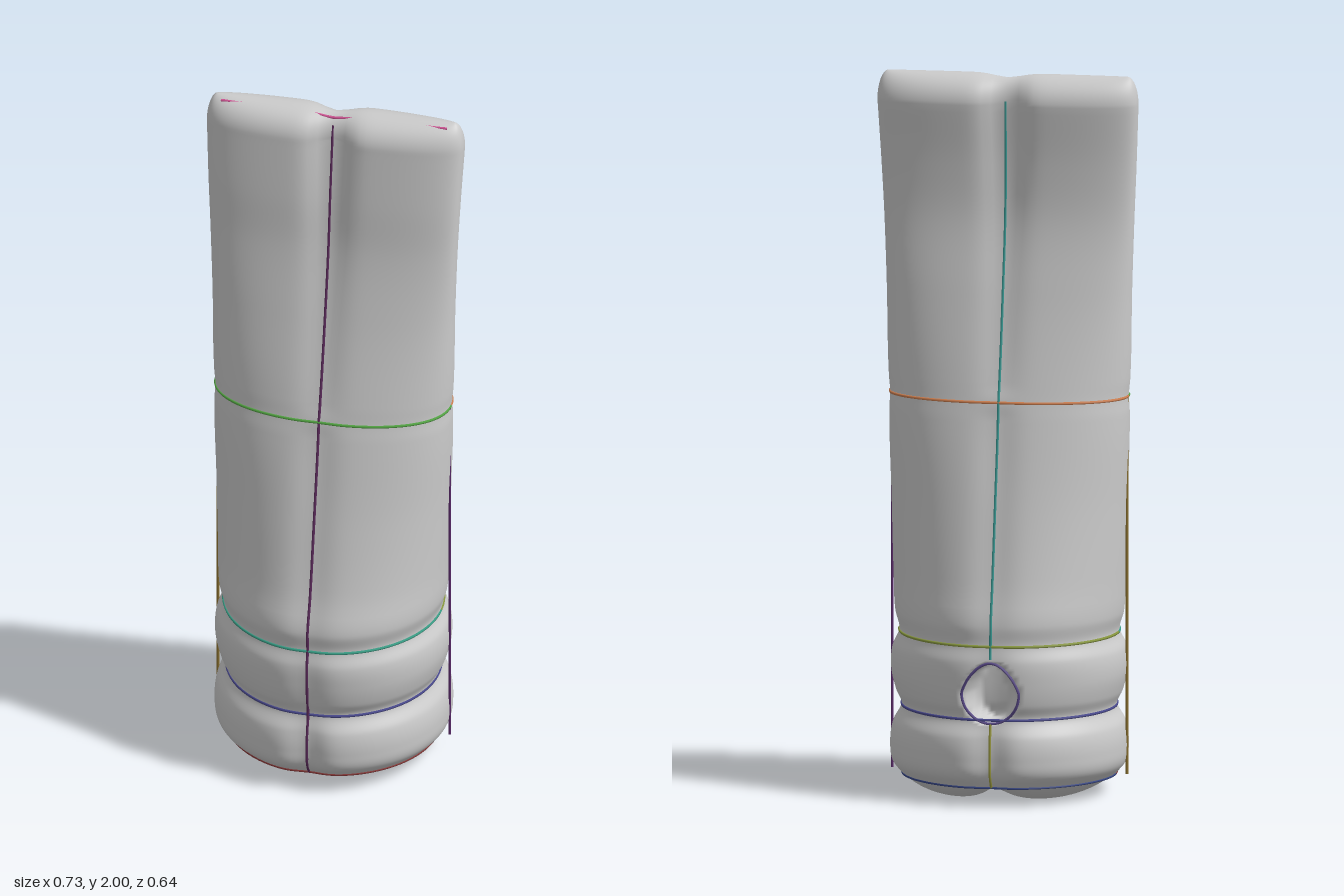
import * as THREE from 'three';

// Body profile: height, then half width, front z, back z, squareness, centre groove depth
const HEIGHTS = [0.05, 0.08, 0.13, 0.19, 0.24, 0.28, 0.34, 0.4, 0.445, 0.5, 0.6, 0.8, 1.06, 1.105, 1.15, 1.4, 1.6, 1.75, 1.92];
const SECTIONS = [
  0.295, 0.295, -0.295, 2, 0.01,
  0.32, 0.325, -0.325, 2, 0.02,
  0.328, 0.333, -0.333, 2, 0.022,
  0.32, 0.325, -0.325, 2, 0.018,
  0.296, 0.3, -0.3, 2, 0.004,
  0.312, 0.314, -0.312, 2, 0.01,
  0.326, 0.323, -0.318, 2, 0.012,
  0.322, 0.322, -0.316, 2, 0.01,
  0.303, 0.306, -0.302, 2, 0.004,
  0.315, 0.312, -0.304, 2, 0.008,
  0.32, 0.285, -0.282, 2, 0.01,
  0.326, 0.242, -0.24, 2.05, 0.01,
  0.333, 0.188, -0.186, 2.2, 0.008,
  0.331, 0.177, -0.176, 2.2, 0.003,
  0.335, 0.169, -0.167, 2.2, 0.008,
  0.341, 0.116, -0.117, 2.4, 0.014,
  0.348, 0.082, -0.086, 2.6, 0.02,
  0.355, 0.072, -0.088, 2.7, 0.03,
  0.363, 0.058, -0.106, 2.8, 0.042,
];
const profile = new THREE.CubicInterpolant(HEIGHTS, SECTIONS, 5, new Float32Array(5));
const BASE = 0.05, CAP = 1.92, CAP_H = 0.08;
const smooth = THREE.MathUtils.smoothstep;

// Eye-shaped opening low on the back: 1 at its outline
function holeDistance(x, y) {
  const half = 0.08 * Math.sqrt(Math.max(0, 1 - ((y - 0.315) / 0.085) ** 2)) * (y > 0.315 ? 1 - (y - 0.315) * 3 : 1);
  return half > 0.001 ? Math.abs(x) / half : 9;
}

// Point of the padded skin at an angle (0 = +x, PI/2 = front) and height
function skin(angle, y, withHole = true) {
  let [hx, zf, zb, e, groove] = profile.evaluate(Math.min(y, CAP));
  let drop = 0;
  const c = Math.cos(angle), s = Math.sin(angle);
  if (y > CAP) { // rounded top edge
    const u = Math.min(1, (y - CAP) / CAP_H), k = Math.sqrt(1 - u * u);
    const mid = (zf + zb) / 2, half = (zf - zb) / 2;
    zf = mid + half * k;
    zb = mid - half * k;
    hx -= 0.03 * (1 - k);
    groove *= k;
    drop = 0.012 * u;
  }
  const x = hx * Math.sign(c) * Math.abs(c) ** (2 / e);
  const lift = Math.abs(s) ** (2 / e);
  const mid = (zf + zb) / 2;
  const dip = Math.exp(-((x / 0.05) ** 2));
  let z = mid + (s > 0 ? zf - mid : zb - mid) * lift - Math.sign(s) * groove * dip;
  if (withHole && s < 0 && y < 0.42) z += 0.09 * (1 - smooth(holeDistance(x, y), 0.55, 1.02));
  return new THREE.Vector3(x, y - drop * dip, z);
}

// Underside: four pillows between a cross of seams
function underside(angle, t) {
  const p = skin(angle, BASE, false);
  p.x *= t;
  p.z *= t;
  const puff = (1 - Math.exp(-Math.abs(p.x) / 0.045)) * (1 - Math.exp(-Math.abs(p.z) / 0.045)) * (1 - t ** 5);
  p.y = BASE - 0.061 * puff;
  return p;
}

function bodyGeometry() {
  const around = 144, rows = [];
  for (let i = 0; i < 24; i++) rows.push((a) => underside(a, Math.max(0.001, i / 24)));
  const addRows = (y0, y1, n) => {
    for (let i = 0; i < n; i++) {
      const y = y0 + ((y1 - y0) * i) / n;
      rows.push((a) => skin(a, y));
    }
  };
  addRows(BASE, 0.55, 84);
  addRows(0.55, 1.05, 20);
  addRows(1.05, 1.16, 14);
  addRows(1.16, CAP, 36);
  for (let i = 0; i <= 14; i++) rows.push((a) => skin(a, CAP + CAP_H * Math.sin((i / 14) * Math.PI / 2)));

  const positions = [], index = [];
  rows.forEach((row, j) => {
    for (let i = 0; i < around; i++) {
      positions.push(...row((i / around) * Math.PI * 2).toArray());
      if (j === rows.length - 1) continue;
      const a = j * around + i, b = j * around + ((i + 1) % around);
      index.push(a, a + around, b, b, a + around, b + around);
    }
  });
  const geometry = new THREE.BufferGeometry();
  geometry.setAttribute('position', new THREE.Float32BufferAttribute(positions, 3));
  geometry.setIndex(index);
  geometry.computeVertexNormals();
  return geometry;
}

export function createModel() {
  const group = new THREE.Group();
  const body = new THREE.Mesh(bodyGeometry(), new THREE.MeshStandardMaterial({ color: 0xcccccc, side: THREE.DoubleSide }));
  body.name = 'paddedBody';
  group.add(body);

  // A thin seam through points given by a function of 0..1
  const seam = (name, color, at, closed = false, n = 48) => {
    const points = [];
    for (let i = 0; i < (closed ? n : n + 1); i++) points.push(at(i / n));
    const curve = new THREE.CatmullRomCurve3(points, closed);
    const mesh = new THREE.Mesh(
      new THREE.TubeGeometry(curve, n * 2, 0.004, 5, closed),
      new THREE.MeshStandardMaterial({ color })
    );
    mesh.name = name;
    group.add(mesh);
  };
  const PI = Math.PI, lerp = THREE.MathUtils.lerp;

  // Vertical seams
  seam('frontSeam', 0x5a2a5a, (t) => skin(PI / 2, lerp(BASE, 1.97, t)));
  seam('backSeam', 0x3a9a94, (t) => skin(-PI / 2, lerp(0.41, 1.93, t)));
  seam('lowerBackSeam', 0x9a9a40, (t) => skin(-PI / 2, lerp(BASE, 0.23, t), false), false, 12);
  seam('leftSeam', 0x5a2a6a, (t) => new THREE.Vector3(0.328, lerp(BASE, 1.105, t), 0), false, 4);
  seam('rightSeam', 0x8a7030, (t) => new THREE.Vector3(-0.328, lerp(BASE, 1.105, t), 0), false, 4);

  // Horizontal seams
  seam('middleFrontSeam', 0x55a845, (t) => skin(t * PI, 1.105));
  seam('middleBackSeam', 0xd08050, (t) => skin(-t * PI, 1.105));
  seam('upperBandFrontSeam', 0x3aa088, (t) => skin(t * PI, 0.445));
  seam('upperBandBackSeam', 0x8a9a40, (t) => skin(-t * PI, 0.445));
  seam('lowerBandSeam', 0x4a4a90, (t) => skin(t * PI * 2, 0.24, false), true, 72);
  seam('baseRimFrontSeam', 0x8a3a3a, (t) => skin(t * PI, BASE));
  seam('baseRimBackSeam', 0x3a4a8a, (t) => skin(-t * PI, BASE));
  seam('topSeam', 0xd8589a, (t) => new THREE.Vector3(lerp(-0.32, 0.32, t), 1.991 - 0.01 * Math.exp(-(((t - 0.5) / 0.08) ** 2)), -0.002));

  // Cross of seams under the base
  seam('baseCrossSeam', 0x8a7a3a, (t) => new THREE.Vector3(lerp(-0.29, 0.29, t), BASE, 0), false, 4);
  seam('baseLengthSeam', 0x4a8a6a, (t) => new THREE.Vector3(0, BASE, lerp(-0.28, 0.28, t)), false, 4);

  // Rim of the back opening
  seam('openingRim', 0x5a4a8a, (t) => {
    const a = t * PI * 2, y = 0.315 + 0.085 * Math.sin(a);
    const x = 0.08 * Math.cos(a) * (y > 0.315 ? 1 - (y - 0.315) * 3 : 1);
    const [hx] = profile.evaluate(y);
    return skin(-Math.acos(x / hx), y, false);
  }, true, 40);

  return group;
}
